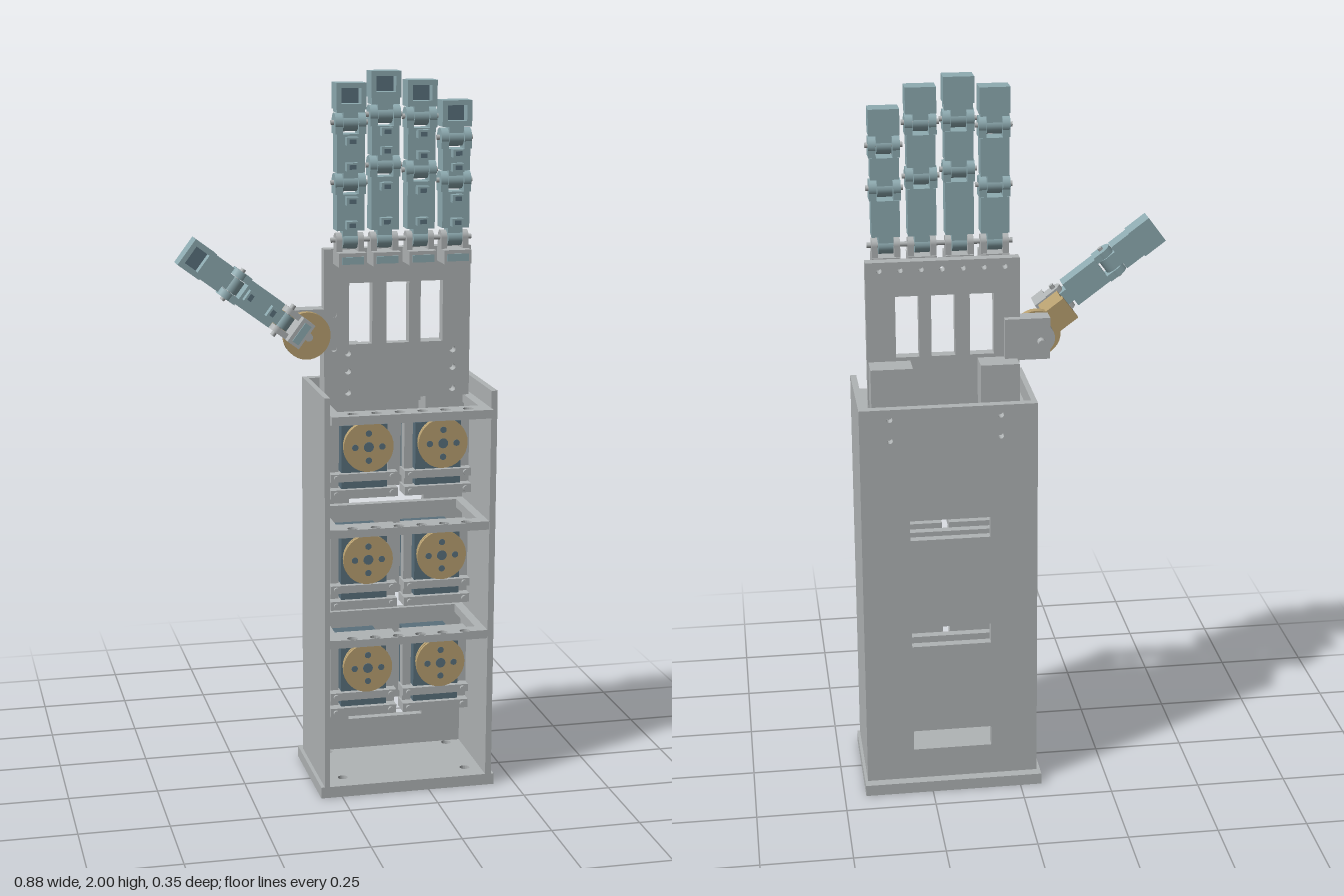
import * as THREE from 'three';

const mat = (name, color) => {
  const m = new THREE.MeshStandardMaterial({ color });
  m.name = name;
  return m;
};

export function createModel() {
  const grey = mat('grey plastic', 0xb0b4b5);
  const teal = mat('teal plastic', 0x8eabb1);
  const gold = mat('tan plastic', 0xb8a070);
  const dark = mat('dark slate', 0x5a707c);
  const model = new THREE.Group();
  model.name = 'roboticForearmAndHand';

  const add = (parent, name, geo, m) => {
    const mesh = new THREE.Mesh(geo, m);
    mesh.name = name;
    parent.add(mesh);
    return mesh;
  };
  // Box given by its two extremes on each axis
  const box = (parent, name, m, x0, x1, y0, y1, z0, z1) => {
    const b = add(parent, name, new THREE.BoxGeometry(x1 - x0, y1 - y0, z1 - z0), m);
    b.position.set((x0 + x1) / 2, (y0 + y1) / 2, (z0 + z1) / 2);
    return b;
  };
  // Cylinder along 'x' or 'z'
  const rod = (parent, name, m, axis, r, len, x, y, z, sides = 24) => {
    const g = new THREE.CylinderGeometry(r, r, len, sides);
    if (axis === 'x') g.rotateZ(Math.PI / 2); else g.rotateX(Math.PI / 2);
    const c = add(parent, name, g, m);
    c.position.set(x, y, z);
    return c;
  };
  // Plate in the xy plane with rectangular [x0,x1,y0,y1] and round [x,y,r] holes
  const plate = (parent, name, m, [x0, x1, y0, y1], rects, rounds, depth, z = 0) => {
    const outline = ([a, b, c, d], Type) => {
      const p = new Type();
      p.moveTo(a, c); p.lineTo(b, c); p.lineTo(b, d); p.lineTo(a, d); p.closePath();
      return p;
    };
    const s = outline([x0, x1, y0, y1], THREE.Shape);
    rects.forEach(r => s.holes.push(outline(r, THREE.Path)));
    rounds.forEach(([x, y, r]) => {
      const p = new THREE.Path();
      p.absarc(x, y, r, 0, Math.PI * 2, true);
      s.holes.push(p);
    });
    const g = new THREE.ExtrudeGeometry(s, { depth, bevelEnabled: false, curveSegments: 8 });
    g.translate(0, 0, z);
    return add(parent, name, g, m);
  };
  // Same plate laid flat: outline in x and z, starting at height y
  const flatPlate = (parent, name, m, [x0, x1, z0, z1], rects, rounds, thick, y) => {
    const p = plate(parent, name, m, [x0, x1, -z1, -z0],
      rects.map(([a, b, c, d]) => [a, b, -d, -c]), rounds.map(([x, z, r]) => [x, -z, r]), thick);
    p.rotation.x = -Math.PI / 2;
    p.position.y = y;
    return p;
  };

  // Forearm housing, open at the front and top
  const housing = new THREE.Group();
  housing.name = 'housing';
  model.add(housing);
  const feet = [];
  for (const x of [0.015, 0.372]) for (const z of [-0.11, 0.09]) feet.push([x, z, 0.014]);
  flatPlate(housing, 'basePlate', grey, [-0.06, 0.44, -0.178, 0.152], [], feet, 0.032, 0);
  box(housing, 'sideWall', grey, -0.05, -0.035, 0.03, 1.143, -0.15, 0.152);
  box(housing, 'sideWall', grey, 0.415, 0.432, 0.03, 1.143, -0.15, 0.152);
  const slots = [0, 1, 2].map(i => [0.08, 0.3, 0.122 + i * 0.32, 0.18 + i * 0.32]);
  const screws = [];
  for (const x of [0.05, 0.35]) for (const y of [1.115, 1.055]) screws.push([x, y, 0.008]);
  plate(housing, 'backWall', grey, [-0.035, 0.415, 0.03, 1.143], slots, screws, 0.025, -0.15);

  // One winch motor with horn and mounting bars
  const motor = (parent, x, y) => {
    const g = new THREE.Group();
    g.name = 'motor';
    g.position.set(x, y, 0);
    parent.add(g);
    box(g, 'motorBody', dark, -0.065, 0.065, -0.135, 0.05, -0.12, 0.045);
    rod(g, 'hornHub', gold, 'z', 0.055, 0.03, 0, 0, 0.062);
    rod(g, 'horn', gold, 'z', 0.07, 0.009, 0, 0, 0.0925, 32);
    rod(g, 'hornBackRim', gold, 'z', 0.066, 0.008, 0, 0, 0.072, 32);
    rod(g, 'hornCentre', dark, 'z', 0.014, 0.003, 0, 0, 0.0975, 16);
    for (let i = 0; i < 4; i++) {
      const a = i * Math.PI / 2;
      rod(g, 'hornHole', dark, 'z', 0.009, 0.003, 0.038 * Math.cos(a), 0.038 * Math.sin(a), 0.0975, 12);
    }
    for (const [a, b] of [[-0.105, -0.083], [-0.153, -0.128], [0.056, 0.078]]) {
      box(g, 'mountBar', grey, -0.098, 0.092, a, b, 0, 0.06);
      for (const s of [-0.082, 0.076]) rod(g, 'screw', grey, 'z', 0.008, 0.012, s, (a + b) / 2, 0.062, 10);
    }
    for (const s of [-1, 1]) box(g, 'mountPost', grey, s * 0.081 - 0.012, s * 0.081 + 0.012, -0.13, 0.06, 0, 0.03);
  };

  // Three shelves, each carrying two motors
  [0.355, 0.67, 0.99].forEach((y, i) => {
    const row = new THREE.Group();
    row.name = 'motorShelf';
    model.add(row);
    const holes = [0.03, 0.095, 0.16, 0.224, 0.288, 0.352].map(x => [x, 0.143, 0.015]);
    flatPlate(row, 'shelf', grey, [-0.035, 0.415, -0.124, i === 2 ? 0.173 : 0.15],
      [[-0.006, 0.39, -0.1, 0.11]], holes, 0.024, y + 0.081);
    motor(row, 0.085, y);
    motor(row, 0.295, y);
  });

  // Palm plate with windows and rear mounting blocks
  const palm = new THREE.Group();
  palm.name = 'palm';
  model.add(palm);
  const palmScrews = [];
  for (const x of [0.052, 0.35]) for (const y of [1.12, 1.18, 1.23]) palmScrews.push([x, y, 0.009]);
  for (const y of [1.245, 1.34]) palmScrews.push([0.012, y, 0.009]);
  for (let i = 0; i < 7; i++) palmScrews.push([0.025 + i * 0.056, 1.497, 0.007]);
  plate(palm, 'palmPlate', grey, [-0.015, 0.398, 1.1, 1.52],
    [[0.055, 0.12, 1.255, 1.425], [0.16, 0.224, 1.255, 1.425], [0.257, 0.32, 1.255, 1.425]],
    palmScrews, 0.033, -0.048);
  for (const [a, b] of [[-0.005, 0.1], [0.282, 0.395]]) {
    box(palm, 'palmBlock', grey, a, b, 1.04, 1.245, -0.118, -0.048);
    box(palm, 'palmBlockFoot', grey, a, b, 1.04, 1.14, -0.125, -0.118);
  }

  // Jointed finger: knuckle at the origin, pointing up, palm side to +z
  const finger = (name, joints, end) => {
    const f = new THREE.Group();
    f.name = name;
    box(f, 'knuckleBase', grey, -0.038, 0.038, -0.068, -0.03, -0.026, 0.05);
    for (const s of [-1, 1]) {
      box(f, 'knuckleLug', grey, s * 0.03 - 0.008, s * 0.03 + 0.008, -0.03, 0, -0.02, 0.02);
      rod(f, 'knuckleLugEnd', grey, 'x', 0.02, 0.016, s * 0.03, 0, 0, 16);
    }
    box(f, 'tendonGuide', teal, -0.03, 0.03, -0.06, -0.04, 0.05, 0.054);
    const stops = [0, ...joints];
    stops.forEach((y, i) => {
      const last = i === joints.length;
      const top = last ? end - 0.07 : stops[i + 1] - 0.03;
      // Hinge with centre barrel and protruding pin
      rod(f, 'hingeBarrel', teal, 'x', 0.024, 0.04, 0, y, 0, 16);
      box(f, 'hingeNeck', teal, -0.02, 0.02, y, y + 0.034, -0.022, 0.02);
      rod(f, 'hingePin', grey, 'x', 0.007, 0.1, 0, y, 0, 10);
      if (top > y + 0.03) box(f, 'segment', teal, -0.038, 0.038, y + 0.027, top, -0.026, 0.024);
      if (last) return;
      for (const s of [-1, 1]) {
        box(f, 'hingeArm', teal, s * 0.032 - 0.01, s * 0.032 + 0.01, top, top + 0.03, -0.024, 0.024);
        rod(f, 'hingeArmEnd', teal, 'x', 0.026, 0.02, s * 0.032, top + 0.03, 0, 16);
      }
      // Tendon guides on the palm side
      const mid = (y + 0.027 + top) / 2, off = (top - y - 0.027) * 0.33;
      for (const k of [-1, 1]) {
        box(f, 'tendonGuide', teal, -0.016, 0.016, mid + k * off - 0.011, mid + k * off + 0.011, 0.024, 0.048);
        box(f, 'tendonHole', dark, -0.009, 0.009, mid + k * off - 0.006, mid + k * off + 0.006, 0.046, 0.0495);
      }
    });
    // Hollow fingertip
    plate(f, 'fingertipFrame', teal, [-0.041, 0.041, end - 0.07, end],
      [[-0.027, 0.027, end - 0.055, end - 0.013]], [], 0.04, -0.012);
    box(f, 'fingertipBack', teal, -0.041, 0.041, end - 0.07, end, -0.03, -0.012);
    box(f, 'fingertipPad', dark, -0.027, 0.027, end - 0.055, end - 0.013, -0.012, -0.004);
    return f;
  };

  [
    ['indexFinger', 0.045, [0.155, 0.315], 0.42],
    ['middleFinger', 0.14, [0.2, 0.335], 0.45],
    ['ringFinger', 0.24, [0.185, 0.328], 0.425],
    ['littleFinger', 0.337, [0.155, 0.27], 0.37],
  ].forEach(([name, x, joints, end]) => {
    const f = finger(name, joints, end);
    f.position.set(x, 1.55, 0.022);
    model.add(f);
  });

  // Thumb mount on the edge of the palm
  box(palm, 'thumbMount', grey, -0.095, 0.028, 1.24, 1.355, -0.07, -0.018);
  rod(palm, 'thumbBearing', grey, 'z', 0.042, 0.047, -0.07, 1.29, -0.0235);
  rod(palm, 'thumbShaft', grey, 'z', 0.011, 0.14, -0.07, 1.29, -0.025, 16);

  // Thumb: pivot disc, offset block and a shorter finger
  const thumb = new THREE.Group();
  thumb.name = 'thumb';
  thumb.position.set(-0.07, 1.29, 0);
  thumb.rotation.z = 0.93;
  model.add(thumb);
  rod(thumb, 'pivotDisc', gold, 'z', 0.065, 0.022, 0, 0, 0.011, 32);
  box(thumb, 'pivotArm', gold, -0.035, 0.035, 0.03, 0.115, 0, 0.024);
  box(thumb, 'offsetBlock', gold, -0.035, 0.035, 0.045, 0.11, 0.024, 0.084);
  const t = finger('thumbFinger', [0.168], 0.325);
  t.position.set(0, 0.105, 0.112);
  thumb.add(t);

  return model;
}
